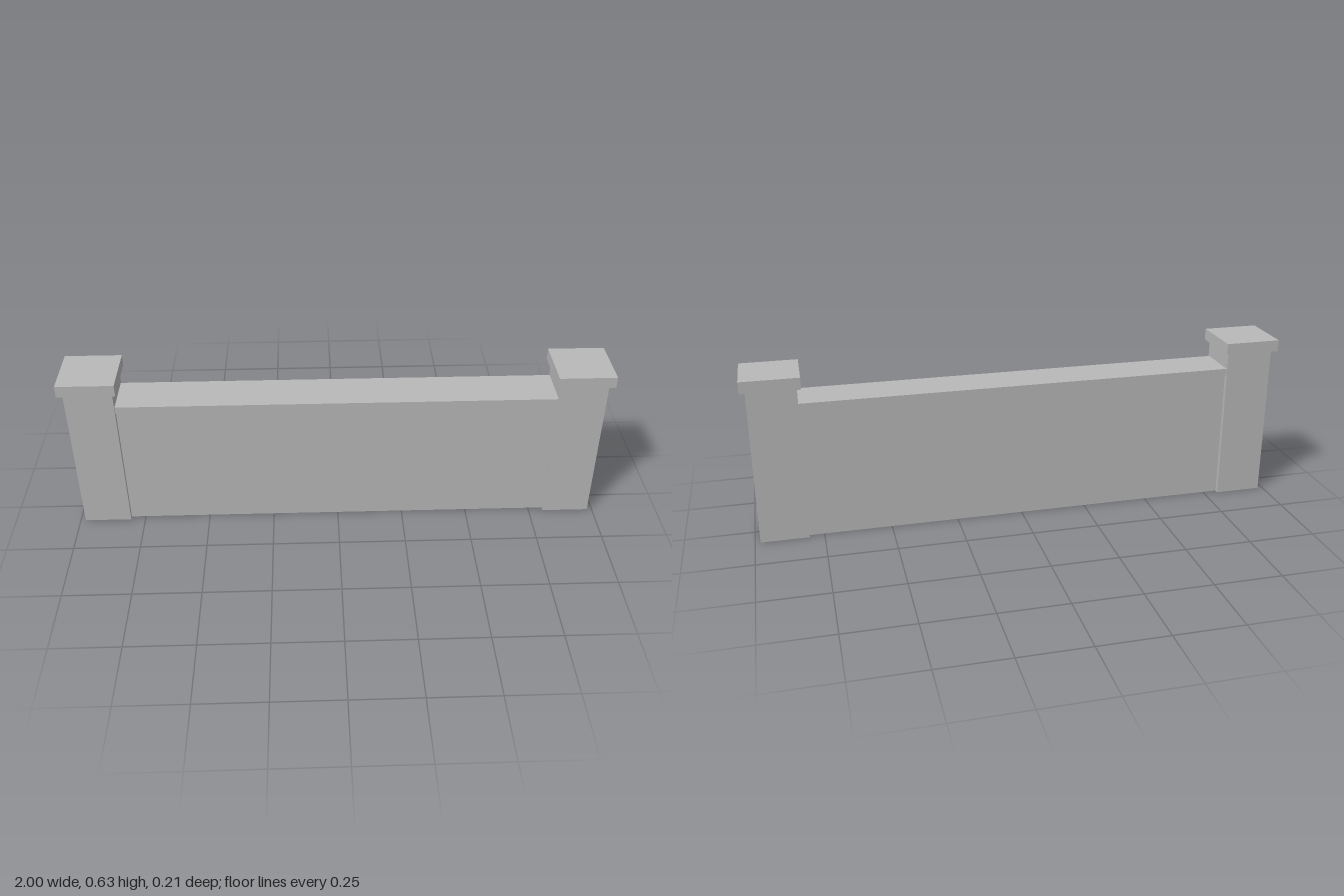
import * as THREE from 'three';

export function createModel() {
  const wall = new THREE.Group();
  wall.name = 'gardenWall';
  const stone = new THREE.MeshStandardMaterial({ color: 0xb8b8b8 });
  stone.name = 'grey stone';

  // Box with its base at height y
  function block(name, w, h, d, x, y, z = 0) {
    const mesh = new THREE.Mesh(new THREE.BoxGeometry(w, h, d), stone);
    mesh.name = name;
    mesh.position.set(x, y + h / 2, z);
    wall.add(mesh);
  }

  // Recessed wall panel and the coping that overhangs it
  block('wallPanel', 1.612, 0.495, 0.142, 0, 0);
  block('coping', 1.612, 0.026, 0.165, 0, 0.495);

  // End posts with flat caps; the right cap sits slightly higher
  for (const [side, s, capY] of [['left', 1, 0.58], ['right', -1, 0.584]]) {
    block(side + 'Post', 0.176, capY, 0.176, s * 0.893, 0);
    block(side + 'Cap', 0.209, 0.0435, 0.209, s * 0.8955, capY, s * 0.0008);
  }
  return wall;
}
